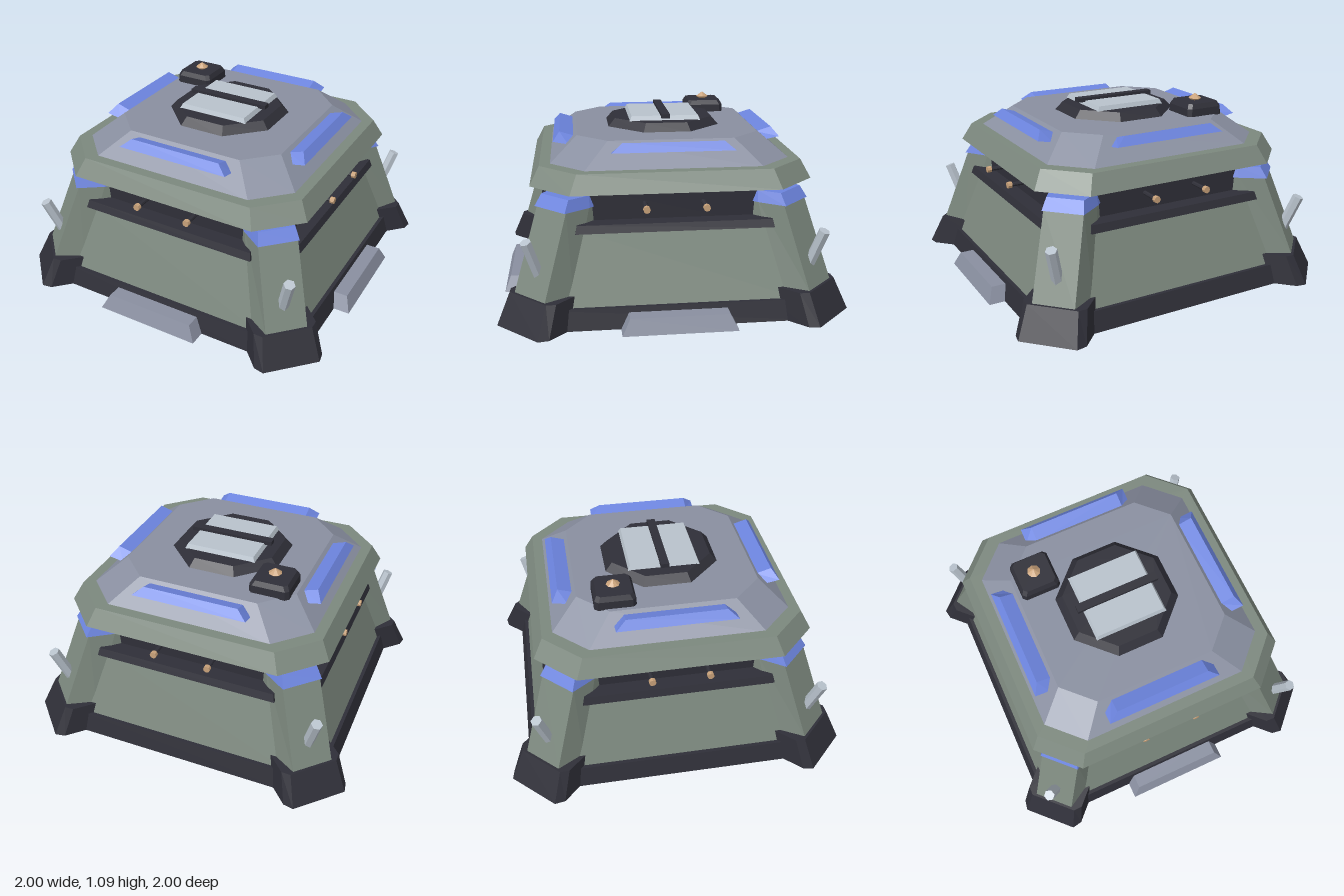
import * as THREE from 'three';

const mat = (name, color) => Object.assign(new THREE.MeshStandardMaterial({ color }), { name });

// Faceted solid through loops of [x, y, z] points (each loop runs from +x towards +z), listed bottom to top.
function loft(loops) {
  const pos = [];
  const tri = (a, b, c) => pos.push(...a, ...b, ...c);
  for (let k = 0; k < loops.length - 1; k++) {
    const a = loops[k], b = loops[k + 1], n = a.length;
    for (let i = 0; i < n; i++) {
      const j = (i + 1) % n;
      tri(a[i], b[i], b[j]);
      tri(a[i], b[j], a[j]);
    }
  }
  const lo = loops[0], hi = loops[loops.length - 1];
  for (let i = 1; i < lo.length - 1; i++) {
    tri(lo[0], lo[i], lo[i + 1]);
    tri(hi[0], hi[i + 1], hi[i]);
  }
  const g = new THREE.BufferGeometry();
  g.setAttribute('position', new THREE.Float32BufferAttribute(pos, 3));
  g.computeVertexNormals();
  return g;
}

// Square of half-size h with corners cut by c, at height y.
const oct = (h, c, y) => [
  [h, y, -h + c], [h, y, h - c], [h - c, y, h], [-h + c, y, h],
  [-h, y, h - c], [-h, y, -h + c], [-h + c, y, -h], [h - c, y, -h],
];
const rect = (w, z0, z1, y) => [[w, y, z0], [w, y, z1], [-w, y, z1], [-w, y, z0]];
// Bevelled corner section: outer edge at r, shoulders at rs, inner end at ri.
const corner = (r, t, rs, ts, ri, y) => [
  [ts, y, ri], [ts, y, rs], [t, y, r], [-t, y, r], [-ts, y, rs], [-ts, y, ri],
];

function facet(g) {
  const f = g.toNonIndexed();
  f.computeVertexNormals();
  return f;
}

// Cylinder between two points.
function rod(a, b, r, sides) {
  const p = new THREE.Vector3(...a), q = new THREE.Vector3(...b);
  const d = q.clone().sub(p);
  const g = facet(new THREE.CylinderGeometry(r, r, d.length(), sides));
  g.applyQuaternion(new THREE.Quaternion().setFromUnitVectors(new THREE.Vector3(0, 1, 0), d.normalize()));
  const m = p.add(q).multiplyScalar(0.5);
  return g.translate(m.x, m.y, m.z);
}

export function createModel() {
  const dark = mat('charcoal', 0x2f2f38);
  const green = mat('sage green', 0x7c887e);
  const gray = mat('slate gray', 0x898fa0);
  const blue = mat('blue', 0x6c84de);
  const light = mat('pale steel', 0xb8c2cc);
  const gold = mat('brass', 0xc9a27a);

  const model = new THREE.Group();
  model.name = 'bunker';
  const add = (name, geo, material, parent = model) => {
    const m = new THREE.Mesh(geo, material);
    m.name = name;
    parent.add(m);
    return m;
  };

  // Body
  add('plinth', loft([oct(0.895, 0.16, 0), oct(0.865, 0.16, 0.115)]), dark);
  add('walls', loft([oct(0.845, 0.16, 0.11), oct(0.71, 0.16, 0.52)]), green);
  add('windowBand', loft([oct(0.655, 0.16, 0.5), oct(0.655, 0.16, 0.745)]), dark);

  // Roof
  add('roofSkirt', loft([oct(0.8, 0.22, 0.74), oct(0.745, 0.205, 0.845)]), green);
  add('roofCap', loft([oct(0.69, 0.19, 0.84), oct(0.53, 0.17, 0.975)]), gray);

  // Four sides
  for (let k = 0; k < 4; k++) {
    const side = new THREE.Group();
    side.name = 'side';
    side.rotation.y = k * Math.PI / 2;
    model.add(side);
    add('ledge', loft([rect(0.555, 0.64, 0.76, 0.51), rect(0.545, 0.64, 0.745, 0.555)]), dark, side);
    // Tilted roof fin, wide at its foot
    add('roofFin', loft([
      [[0.345, 0.918, 0.58], [0.345, 0.935, 0.668], [-0.345, 0.935, 0.668], [-0.345, 0.918, 0.58]],
      [[0.285, 0.955, 0.54], [0.285, 0.983, 0.63], [-0.285, 0.983, 0.63], [-0.285, 0.955, 0.54]],
    ]), blue, side);
    for (const x of [-0.165, 0.165]) {
      add('barrel', rod([x, 0.645, 0.64], [x, 0.645, 0.77], 0.013, 8), dark, side);
      add('barrelTip', rod([x, 0.645, 0.765], [x, 0.645, 0.79], 0.02, 8), gold, side);
    }
    // Step pads on the front and left sides only
    if (k < 2) add('stepPad', loft([rect(0.32, 0.85, 0.99, 0.001), rect(0.275, 0.85, 0.955, 0.088)]), gray, side);
  }

  // Four corners
  for (let k = 0; k < 4; k++) {
    const c = new THREE.Group();
    c.name = 'corner';
    c.rotation.y = Math.PI / 4 + k * Math.PI / 2;
    model.add(c);
    add('foot', loft([
      corner(1.252, 0.163, 1.202, 0.198, 0.7, 0),
      corner(1.165, 0.143, 1.125, 0.18, 0.7, 0.176),
    ]), dark, c);
    add('post', loft([
      corner(1.153, 0.12, 0.98, 0.165, 0.6, 0.17),
      corner(0.962, 0.113, 0.81, 0.14, 0.6, 0.64),
    ]), green, c);
    add('postCap', loft([
      corner(0.978, 0.118, 0.815, 0.147, 0.6, 0.635),
      corner(0.935, 0.105, 0.8, 0.13, 0.6, 0.7),
    ]), blue, c);
    add('peg', rod([0, 0.275, 1.072], [0, 0.5, 1.162], 0.033, 6), light, c);
  }

  // Roof hatch
  const k8 = 2 - Math.SQRT2;
  add('hatchRing', loft([oct(0.34, 0.34 * k8, 0.97), oct(0.295, 0.295 * k8, 1.022)]), dark);
  add('hatchPlate', loft([rect(0.222, -0.212, 0.212, 1.02), rect(0.208, -0.2, 0.2, 1.048)]), light);
  add('hatchBar', new THREE.BoxGeometry(0.51, 0.025, 0.05).translate(0, 1.052, 0), dark);

  // Beacon
  const beacon = new THREE.Group();
  beacon.name = 'beacon';
  beacon.position.set(-0.388, 0, -0.322);
  model.add(beacon);
  add('beaconBase', loft([oct(0.12, 0.02, 0.97), oct(0.117, 0.02, 1.02), oct(0.102, 0.02, 1.048)]), dark, beacon);
  const profile = [[0, 1.04], [0.02, 1.045], [0.04, 1.06], [0, 1.09]].map(([r, y]) => new THREE.Vector2(r, y));
  add('beaconTip', facet(new THREE.LatheGeometry(profile, 8)), gold, beacon);

  return model;
}
